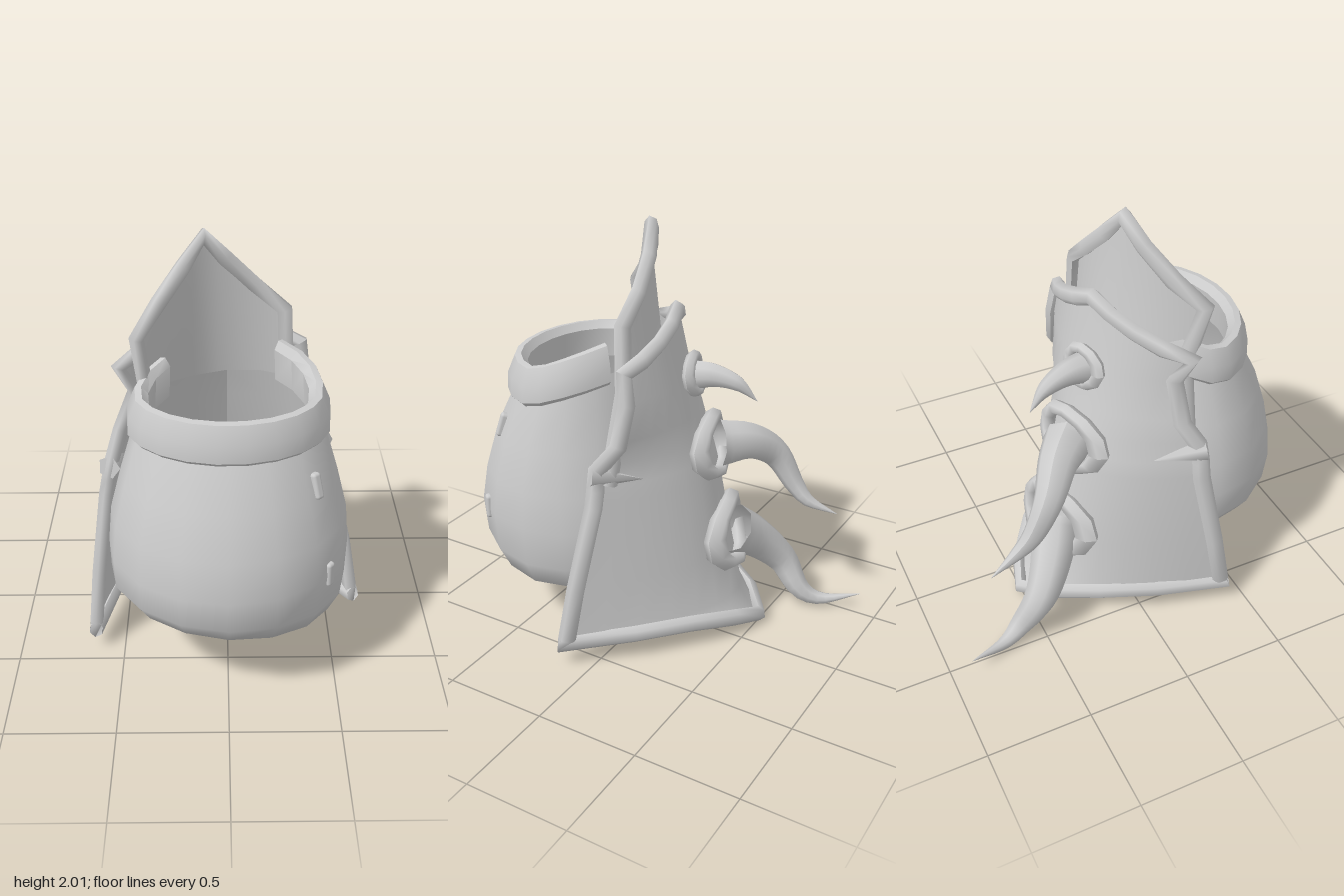
import * as THREE from 'three';
import { ParametricGeometry } from 'three/addons/geometries/ParametricGeometry.js';
import { RoundedBoxGeometry } from 'three/addons/geometries/RoundedBoxGeometry.js';
import { toCreasedNormals } from 'three/addons/utils/BufferGeometryUtils.js';

const V = (x, y, z) => new THREE.Vector3(x, y, z);
const lerp = THREE.MathUtils.lerp;

export function createModel() {
  const model = new THREE.Group();
  const grey = new THREE.MeshStandardMaterial({ color: 0xcccccc, side: THREE.DoubleSide });

  function add(name, geometry, parent = model) {
    const mesh = new THREE.Mesh(geometry, grey);
    mesh.name = name;
    parent.add(mesh);
    return mesh;
  }

  // Linear sample of a list of equal-length rows, t in 0..1
  function sample(rows, t) {
    const f = t * (rows.length - 1);
    const i = Math.min(Math.floor(f + 1e-6), rows.length - 2);
    return rows[i].map((a, k) => lerp(a, rows[i + 1][k], f - i));
  }

  function surface(fn, nu, nv) {
    const g = new ParametricGeometry((u, v, out) => out.copy(fn(u, v)), nu, nv);
    g.computeVertexNormals();
    return g;
  }

  // Curved plate: rows of [edge y, centre y, right x, z, centre x, z, left x, z, flare]
  function platePoint(rows, u, v) {
    const [ye, yc, x0, z0, x1, z1, x2, z2, flare] = sample(rows, v);
    const s = 1 - u * 2, d = Math.abs(s);
    const through = (a, b, c) => b + (c - a) / 2 * s + ((a + c) / 2 - b) * s * s;
    return V(through(x0, x1, x2), lerp(yc, ye, d) + flare * 0.6 * Math.sin(Math.PI * d),
      through(z0, z1, z2) - flare * Math.max(0, 1 - 2.2 * d));
  }

  // Flattened border just inside a plate outline, mitred at its points
  function rim(points, closed) {
    const n = points.length, segments = closed ? n : n - 1;
    const at = i => points[closed ? (i + n) % n : THREE.MathUtils.clamp(i, 0, n - 1)];
    return surface((u, v) => {
      const i = Math.round(v * segments), p = at(i);
      const along = at(i + 1).clone().sub(at(i - 1)).normalize();
      const out = V(p.x, 0.1, p.z - 0.45).normalize();
      const inward = along.cross(out).normalize();
      const a = u * Math.PI * 2;
      return p.clone().addScaledVector(inward, 0.03 + 0.042 * Math.cos(a))
        .addScaledVector(out, 0.034 * Math.sin(a));
    }, 6, segments);
  }

  // The back right of the neck is drawn in toward the plates
  const drawIn = a => 1 - 0.2 * Math.max(0, Math.cos(a + 0.65)) ** 4;

  // Sleeve: rows of [y, half width, back z, front z], from the inner hem to the neck
  const sleeveRows = [
    [0.39, 0.48, -0.05, 0.8], [0.35, 0.5, -0.08, 0.83], [0.45, 0.55, -0.12, 0.885],
    [0.62, 0.555, -0.12, 0.905], [0.8, 0.54, -0.08, 0.865], [1.0, 0.49, -0.02, 0.8],
    [1.2, 0.43, 0.03, 0.7], [1.34, 0.385, 0.07, 0.63],
  ];
  add('sleeve', surface((u, v) => {
    const a = u * Math.PI * 2;
    const [y, rx, zb, zf] = sample(sleeveRows, v);
    const low = Math.max(0, 1 - v / 0.45);
    const pull = lerp(1, drawIn(a), v);
    const x = Math.sin(a) * rx * pull;
    return V(x, y + low * (0.04 * Math.max(0, -Math.cos(a)) - 0.11 * x),
      (zb + zf) / 2 - Math.cos(a) * pull * (zf - zb) / 2);
  }, 16, 7));

  // Collar: thick band, open behind, rising toward its two ends; profile of [height, offset]
  const band = [[0, -0.07], [0, 0], [0.02, 0.02], [0.1, 0.015], [0.18, -0.02], [0.185, -0.05], [0.15, -0.08], [0, -0.07]];
  add('collar', toCreasedNormals(surface((u, v) => {
    const a = lerp(0.64, Math.PI * 2 - 1.0, u);
    const [h, off] = sample(band, v);
    const back = Math.max(0, Math.cos(a) + 0.15);
    return V(Math.sin(a) * (0.435 + off) * drawIn(a), 1.19 + h + 0.13 * back,
      0.36 - Math.cos(a) * (0.345 + off) * drawIn(a));
  }, 16, 7), 0.7));

  // Two small tabs on the left of the sleeve
  [[0.375, 1.04, 0.615, 0.7, -0.3], [0.44, 0.62, 0.67, 0.85, 0]].forEach(([x, y, z, turn, tilt]) => {
    const tab = add('sleeveTab', new RoundedBoxGeometry(0.045, 0.12, 0.05, 2, 0.015));
    tab.position.set(x, y, z);
    tab.rotation.set(tilt, turn, 0, 'YXZ');
  });

  // Tall pointed inner plate with its raised edge
  const innerRows = [
    [1.61, 2.0, -0.395, 0.365, -0.1, 0.085, 0.285, 0.025, 0],
    [1.3, 1.3, -0.37, 0.29, -0.1, 0.01, 0.3, 0.015, 0],
    [0.9, 0.9, -0.46, 0.28, -0.13, -0.12, 0.43, 0.02, 0],
  ];
  add('innerPlate', surface((u, v) => platePoint(innerRows, u, v), 12, 2));
  const innerEdge = [[0, 1], [0, 0.5], [0, 0], [0.17, 0], [0.34, 0], [0.5, 0],
    [0.66, 0], [0.83, 0], [1, 0], [1, 0.5], [1, 1]];
  add('innerPlateRim', rim(innerEdge.map(([u, v]) => platePoint(innerRows, u, v)), false));

  // Outer back plate, waisted at the sides and flared to a point at the bottom
  const outerRows = [
    [1.43, 1.63, -0.49, 0.26, -0.09, -0.06, 0.36, -0.03, 0],
    [1.28, 1.28, -0.43, 0.21, -0.12, -0.12, 0.38, -0.05, 0],
    [1.1, 1.1, -0.5, 0.22, -0.14, -0.17, 0.42, -0.03, 0],
    [0.98, 0.98, -0.535, 0.29, -0.15, -0.2, 0.46, 0.06, 0],
    [0.88, 0.88, -0.555, 0.3, -0.165, -0.23, 0.48, 0.06, 0],
    [0.8, 0.8, -0.57, 0.3, -0.17, -0.25, 0.5, 0.06, 0],
    [0.4, 0.4, -0.615, 0.37, -0.18, -0.33, 0.59, 0.11, 0],
    [0.14, 0.16, -0.635, 0.41, -0.18, -0.38, 0.63, 0.14, 0.01],
    [0.075, 0.01, -0.64, 0.42, -0.18, -0.43, 0.64, 0.15, 0.08],
  ];
  add('backPlate', surface((u, v) => platePoint(outerRows, u, v), 14, 8));
  const outline = [];
  [[0, 0, 1, 0], [1, 0, 1, 1], [1, 1, 0, 1], [0, 1, 0, 0]].forEach(([u0, v0, u1, v1]) => {
    for (let i = 0; i < 8; i++) {
      outline.push(platePoint(outerRows, lerp(u0, u1, i / 8), lerp(v0, v1, i / 8)));
    }
  });
  add('backPlateRim', rim(outline, true));

  // Small barb on each side of the plate border
  [0, 1].forEach(side => {
    const root = platePoint(outerRows, side, 0.42);
    const tip = platePoint(outerRows, lerp(side, 0.5, 0.25), 0.47);
    tip.z -= 0.03;
    const barb = add('rimBarb', new THREE.ConeGeometry(0.055, root.distanceTo(tip), 5));
    barb.position.lerpVectors(root, tip, 0.5);
    barb.quaternion.setFromUnitVectors(V(0, 1, 0), tip.sub(root).normalize());
  });

  // Tapered horn swept along points of [x, y, z, radius]
  function horn(points) {
    const path = new THREE.CatmullRomCurve3(points.map(([x, y, z]) => V(x, y, z)));
    const steps = 20, sides = 8;
    const g = new THREE.TubeGeometry(path, steps, 1, sides, false);
    const pos = g.attributes.position;
    const p = V(0, 0, 0);
    for (let i = 0; i <= steps; i++) {
      const c = path.getPointAt(i / steps);
      const r = sample(points, path.getUtoTmapping(i / steps))[3];
      for (let j = 0; j <= sides; j++) {
        const k = i * (sides + 1) + j;
        p.fromBufferAttribute(pos, k).sub(c).multiplyScalar(r).add(c);
        pos.setXYZ(k, p.x, p.y, p.z);
      }
    }
    g.computeVertexNormals();
    return g;
  }

  // Three horns down the back, each seated in a ring bent to the plate
  const horns = [
    { ring: [-0.14, 1.28, -0.14], rx: 0.1, ry: 0.085, tube: 0.03,
      path: [[-0.14, 1.27, -0.13, 0.075], [-0.16, 1.28, -0.22, 0.06], [-0.19, 1.25, -0.34, 0.037], [-0.22, 1.17, -0.43, 0.001]] },
    { ring: [-0.18, 0.92, -0.235], rx: 0.185, ry: 0.135, tube: 0.043,
      path: [[-0.2, 0.92, -0.24, 0.12], [-0.31, 0.91, -0.34, 0.095], [-0.43, 0.82, -0.44, 0.07],
        [-0.46, 0.66, -0.54, 0.048], [-0.46, 0.59, -0.61, 0.033], [-0.5, 0.53, -0.76, 0.001]] },
    { ring: [-0.2, 0.47, -0.335], rx: 0.21, ry: 0.155, tube: 0.048,
      path: [[-0.22, 0.46, -0.33, 0.125], [-0.33, 0.38, -0.39, 0.105], [-0.44, 0.23, -0.5, 0.08],
        [-0.44, 0.08, -0.61, 0.055], [-0.47, 0.035, -0.7, 0.035], [-0.55, 0.08, -0.9, 0.001]] },
  ];
  for (const { ring, rx, ry, tube, path } of horns) {
    const spike = new THREE.Group();
    spike.name = 'backHorn';
    model.add(spike);
    add('horn', horn(path), spike);
    const g = new THREE.TorusGeometry(rx, tube, 6, 11);
    const pos = g.attributes.position;
    for (let i = 0; i < pos.count; i++) {
      const x = pos.getX(i);
      pos.setXYZ(i, x, pos.getY(i) * ry / rx, pos.getZ(i) - 1.0 * x * x);
    }
    g.computeVertexNormals();
    const seat = add('hornRing', g, spike);
    seat.position.set(...ring);
    seat.lookAt(ring[0] - 0.27, ring[1] + 0.18, ring[2] - 0.95);
  }

  return model;
}
